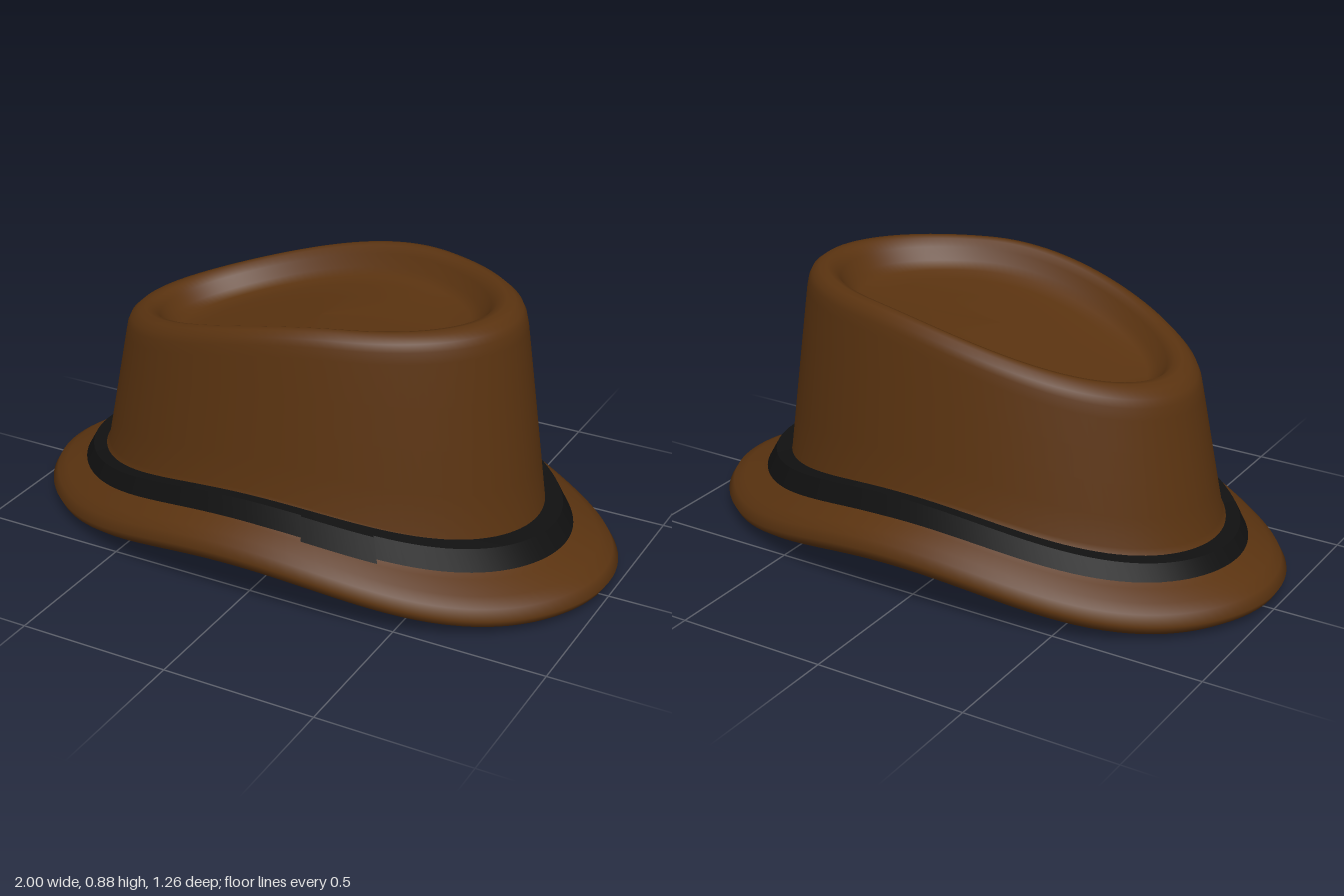
import * as THREE from 'three';
import { toCreasedNormals } from 'three/addons/utils/BufferGeometryUtils.js';

const DEPTH = 0.63; // oval proportion, z to x

// Saddle bend of the brim: raised at front and back, low at the two ends
const lift = (x) => 0.0675 * (1 + Math.cos(Math.PI * Math.min(Math.abs(x) / 0.9, 1)));
// Height of the crown's rim, sloping down towards -x
const crownHeight = (x) => 0.66 + 0.225 * THREE.MathUtils.smoothstep(x, -0.95, 0.25);

// Point on the oval. Profile entry: [scale, share of crown height, y offset]
function ovalPoint([s, w, y], angle, tilt) {
  const shift = -0.016 * (1 - THREE.MathUtils.smoothstep(s, 0.85, 1));
  const x = s * Math.cos(angle) + shift;
  const h = y + (1 - w) * lift(x) + w * crownHeight(x) + tilt * x;
  return [x, h, s * DEPTH * Math.sin(angle)];
}

// Sweeps a profile round the oval; an arc gets closed ends
function sweep(profile, { closed = false, start = 0, length = Math.PI * 2, steps = 128, tilt = 0 } = {}) {
  const full = length > 6.28;
  const n = profile.length;
  const cols = full ? steps : steps + 1;
  const pos = [], index = [];
  for (let j = 0; j < cols; j++) {
    for (const p of profile) pos.push(...ovalPoint(p, start + (length * j) / steps, tilt));
  }
  for (let j = 0; j < steps; j++) {
    const a = j * n, b = ((j + 1) % cols) * n;
    for (let i = 0; i < (closed ? n : n - 1); i++) {
      const k = (i + 1) % n;
      index.push(a + i, b + i, a + k, b + i, b + k, a + k);
    }
  }
  if (!full) {
    const e = steps * n;
    for (let i = 1; i < n - 1; i++) index.push(0, i, i + 1, e, e + i + 1, e + i);
  }
  const g = new THREE.BufferGeometry();
  g.setAttribute('position', new THREE.Float32BufferAttribute(pos, 3));
  g.setIndex(index);
  g.computeVertexNormals();
  return g;
}

export function createModel() {
  const hat = new THREE.Group();
  hat.name = 'hat';
  const felt = new THREE.MeshStandardMaterial({ color: 0x5a3310, side: THREE.DoubleSide });
  const ribbon = new THREE.MeshStandardMaterial({ color: 0x111111 });
  const add = (name, geometry, material) => {
    const mesh = new THREE.Mesh(geometry, material);
    mesh.name = name;
    hat.add(mesh);
  };

  // Dented top, crown wall and upper side of the brim, out to the lip
  const outside = [
    [0.001, 1, -0.11], [0.25, 1, -0.11], [0.42, 1, -0.107], [0.5, 1, -0.095],
    [0.535, 1, -0.07], [0.562, 1, -0.03], [0.585, 1, -0.006], [0.61, 1, 0],
    [0.64, 1, -0.004], [0.665, 1, -0.022], [0.677, 1, -0.045], [0.685, 1, -0.08],
    [0.705, 0.75, -0.008], [0.725, 0.5, 0.065], [0.745, 0.25, 0.137],
    [0.765, 0, 0.21], [0.785, 0, 0.178], [0.82, 0, 0.155], [0.88, 0, 0.132],
    [0.94, 0, 0.11], [0.98, 0, 0.088], [1, 0, 0.055],
  ];
  // Under side of the brim, inner wall and ceiling
  const inside = [
    [1, 0, 0.055], [0.985, 0, 0.03], [0.95, 0, 0.01], [0.88, 0, 0.001], [0.82, 0, 0.012],
    [0.77, 0, 0.045], [0.72, 0, 0.1], [0.69, 0, 0.17], [0.66, 0.33, 0.06],
    [0.63, 0.66, -0.05], [0.605, 1, -0.15], [0.57, 1, -0.19], [0.52, 1, -0.22],
    [0.4, 1, -0.23], [0.001, 1, -0.23],
  ];
  add('crownAndBrim', sweep([...outside, ...inside.slice(1)]), felt);

  // Ribbon round the foot of the crown
  const band = [[0.75, 0, 0.2], [0.825, 0, 0.2], [0.862, 0, 0.138], [0.8, 0, 0.11]];
  add('hatBand', toCreasedNormals(sweep(band, { closed: true, tilt: 0.012 }), 0.7), ribbon);

  // Overlapping end of the ribbon at the front
  const tab = [[0.79, 0, 0.204], [0.845, 0, 0.204], [0.885, 0, 0.134], [0.82, 0, 0.11]];
  const tabGeometry = sweep(tab, { closed: true, start: 1.04, length: 0.28, steps: 10, tilt: 0.012 });
  add('bandTab', toCreasedNormals(tabGeometry, 0.7), ribbon);

  return hat;
}
